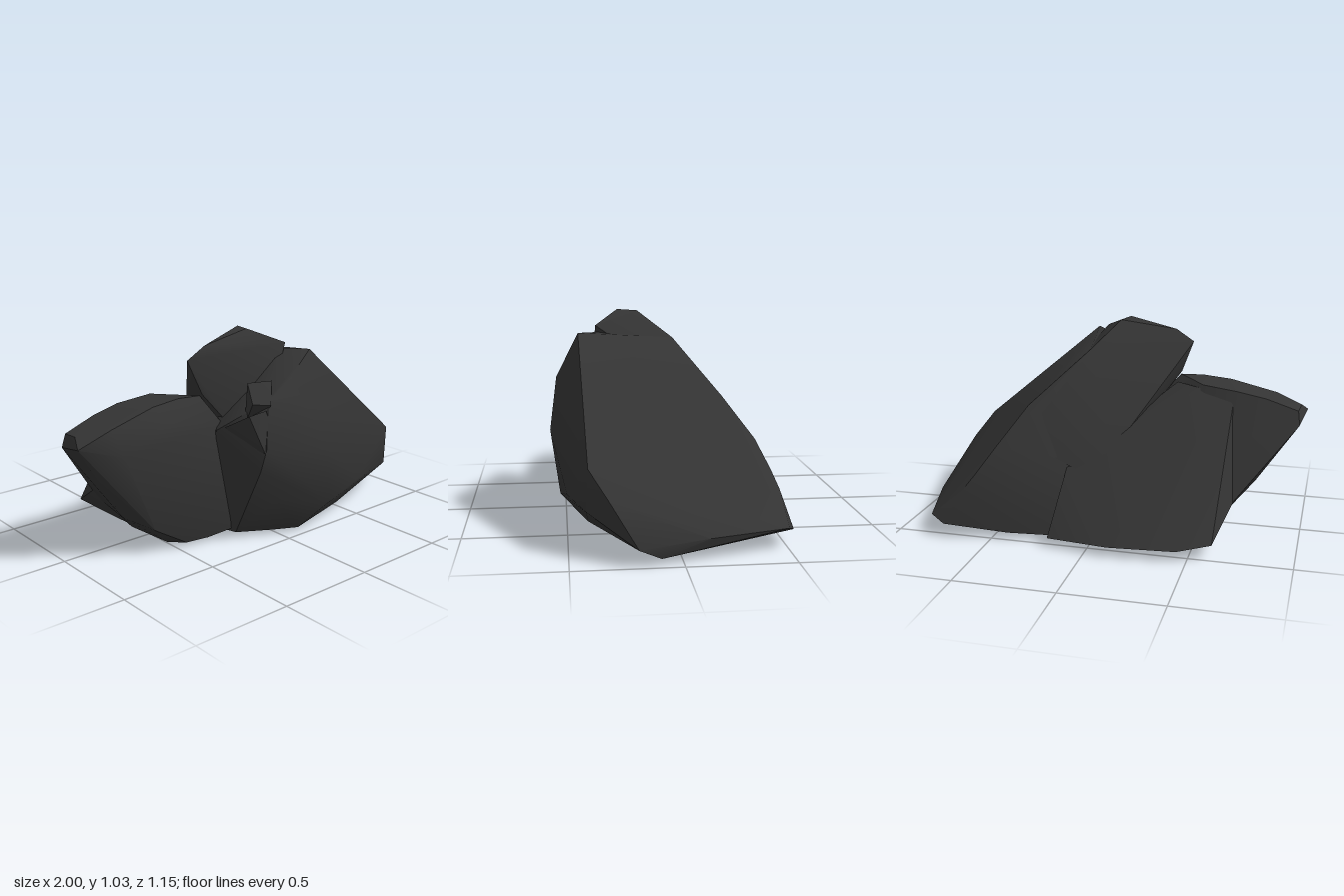
import * as THREE from 'three';
import { ConvexGeometry } from 'three/addons/geometries/ConvexGeometry.js';
import { toCreasedNormals } from 'three/addons/utils/BufferGeometryUtils.js';

// Each block of the rock is the convex hull of its corner points.
const blocks = {
  // large block with the broad sloping face on the +x side
  mainBlock: [
    [0.18, 0.935, 0.43], [0.08, 0.93, 0.3], [0.1, 0.9, -0.05], [0.37, 0.64, -0.26],
    [0.45, 0.51, -0.34], [0.5, 0.45, -0.4], [0.59, 0.32, -0.46], [0.65, 0.24, -0.49],
    [0.74, 0.07, -0.54], [0.82, 0.1, -0.5], [0.93, 0.1, -0.12], [1, 0.08, 0.2],
    [0.91, 0.27, 0.32], [0.82, 0.4, 0.41], [0.97, 0.03, 0.1], [0.8, 0.2, 0.42],
    [0.75, 0.01, 0.15], [0.5, 0.2, 0.5], [0.45, 0.05, 0.4], [0.18, 0.45, 0.575],
    [0.25, 0.14, 0.53], [0.05, 0.7, 0.54], [0.02, 0.83, 0.47], [-0.14, 0.74, 0.48],
    [-0.19, 0.52, 0.53], [-0.2, 0.4, 0.5], [-0.07, 0.22, 0.48], [0.1, 0.02, 0.46],
    [-0.02, 0.02, 0.4], [-0.2, 0.03, 0.32], [-0.3, 0.58, 0.29], [-0.2, 0, 0.1],
    [0.15, 0.02, -0.43], [0.42, 0.03, -0.48], [-0.05, 0.36, -0.27], [-0.12, 0.65, 0.12],
  ],
  // peak that overhangs the notch and runs back as a ridge
  peakBlock: [
    [-0.395, 0.92, 0.19], [-0.3, 0.98, 0.2], [-0.17, 0.99, 0.22], [-0.05, 1.035, 0.22],
    [-0.02, 1.03, 0.12], [0.1, 0.965, 0.34], [0.1, 0.9, -0.05], [0.37, 0.64, -0.26],
    [0.45, 0.5, -0.34], [-0.33, 0.75, 0.22], [-0.32, 0.76, 0.12], [-0.22, 0.65, -0.04],
    [-0.22, 0.6, 0.28], [0.0, 0.7, 0.36], [-0.06, 0.42, -0.26], [0.0, 0.3, -0.33],
    [0.1, 0.6, 0.2],
  ],
  // slab with a level top, reaching out to the pointed tip on the -x side
  tipSlab: [
    [-1, 0.6, 0.17], [-0.97, 0.64, 0.1], [-0.96, 0.63, 0.0], [-0.97, 0.56, -0.02],
    [-0.85, 0.42, -0.06], [-0.8, 0.685, -0.01], [-0.66, 0.715, -0.02], [-0.48, 0.735, 0.0],
    [-0.62, 0.14, -0.29], [-0.84, 0.67, 0.2], [-0.6, 0.73, 0.19], [-0.45, 0.745, 0.19],
    [-0.33, 0.74, 0.2], [-0.8, 0.54, 0.24], [-0.53, 0.65, 0.24], [-0.75, 0.32, 0.22],
    [-0.81, 0.36, 0.12], [-0.75, 0.2, 0.13], [-0.63, 0.13, 0.23], [-0.61, 0.07, 0],
    [-0.5, 0.005, 0.15], [-0.45, 0.02, 0.24], [-0.33, 0.02, 0.26], [-0.25, 0.6, 0.28],
    [-0.15, 0.05, 0.3], [-0.1, 0.5, 0.1], [-0.2, 0.2, -0.2],
  ],
  // wedge running down to the ground at the back
  backWedge: [
    [-0.7, 0.25, -0.17], [-0.61, 0.13, -0.32], [-0.61, 0.07, -0.48], [-0.45, 0.05, -0.55],
    [-0.12, 0.05, -0.58], [0.2, 0.04, -0.52], [-0.6, 0.07, -0.1], [-0.45, 0.02, -0.45],
    [0.2, 0.01, -0.4], [-0.64, 0.69, -0.02], [-0.46, 0.72, 0.0], [-0.33, 0.72, 0.1],
    [-0.2, 0.61, -0.06], [-0.05, 0.4, -0.26], [0.15, 0.35, -0.33], [0.1, 0.005, 0.1],
    [-0.48, 0.005, 0.1],
  ],
  // broken pieces along the crack
  upperShard: [
    [-0.2, 0.82, 0.4], [-0.08, 0.82, 0.44], [-0.1, 0.79, 0.36], [-0.22, 0.73, 0.46],
    [-0.14, 0.72, 0.5], [-0.12, 0.6, 0.4], [-0.2, 0.6, 0.38],
  ],
  lowerShard: [
    [-0.25, 0.68, 0.47], [-0.17, 0.7, 0.5], [-0.2, 0.5, 0.53], [-0.22, 0.52, 0.4],
    [-0.1, 0.5, 0.5], [-0.28, 0.6, 0.33],
  ],
};

export function createModel() {
  const rock = new THREE.Group();
  rock.name = 'rock';
  const stone = new THREE.MeshStandardMaterial({ color: 0x343434 });
  for (const [name, corners] of Object.entries(blocks)) {
    const hull = new ConvexGeometry(corners.map((c) => new THREE.Vector3(...c)));
    // soften shallow edges, keep the strong ones sharp
    const mesh = new THREE.Mesh(toCreasedNormals(hull, 0.7), stone);
    mesh.name = name;
    rock.add(mesh);
  }
  return rock;
}
